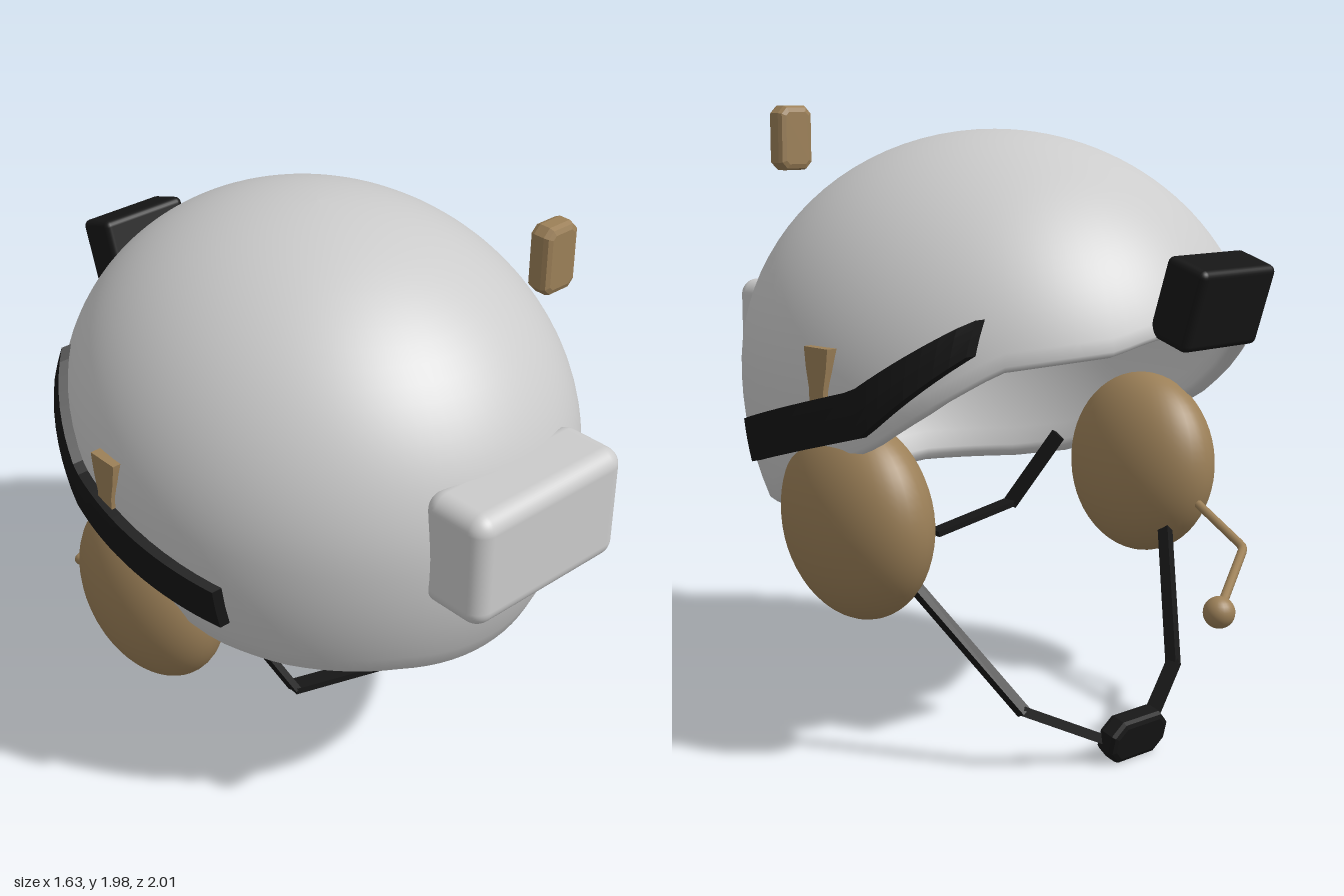
import * as THREE from 'three';
import { RoundedBoxGeometry } from 'three/addons/geometries/RoundedBoxGeometry.js';

const grey = new THREE.MeshStandardMaterial({ color: 0xcccccc });
const tan = new THREE.MeshStandardMaterial({ color: 0x9c8058 });
const black = new THREE.MeshStandardMaterial({ color: 0x161616 });
const V = (x, y, z) => new THREE.Vector3(x, y, z);

// Shell ellipsoid: half width, half length, centre height, upper and lower half height
const RX = 0.77, RZ = 0.88, CY = 1.15, UP = 0.76, DOWN = 0.95;
const shellX = (y, z) => {
  const v = (y - CY) / (y > CY ? UP : DOWN);
  return RX * Math.sqrt(Math.max(0, 1 - (z / RZ) ** 2 - v * v));
};

// Linear interpolation through [key, value] pairs with rising keys
function ramp(pairs, k) {
  for (let i = 1; i < pairs.length; i++) {
    const [a, va] = pairs[i - 1], [b, vb] = pairs[i];
    if (k <= b) return va + (vb - va) * Math.max(0, (k - a) / (b - a));
  }
  return pairs[pairs.length - 1][1];
}

function add(parent, name, geometry, material, x = 0, y = 0, z = 0) {
  const mesh = new THREE.Mesh(geometry, material);
  mesh.name = name;
  mesh.position.set(x, y, z);
  parent.add(mesh);
  return mesh;
}

// Hollow dome: outer skin, rolled rim, inner skin; the rim height follows the heading
function shellGeometry() {
  const edge = [[-1, 1.36], [-0.93, 1.31], [-0.7, 1.27], [-0.3, 1.03], [0.1, 0.87],
    [0.35, 0.77], [0.6, 0.735], [0.9, 0.72], [1, 0.69]];
  const N = 96, M = 28, pos = [], index = [];
  const rows = [];
  for (let j = 0; j <= M; j++) rows.push([j / M, 1]);
  rows.push([1.012, 0.985], [1.015, 0.96], [1.01, 0.935]);
  for (let j = M; j >= 0; j--) rows.push([j / M, 0.92]);
  for (const [t, s] of rows) {
    for (let i = 0; i < N; i++) {
      const phi = (i / N) * Math.PI * 2;
      const e = ramp(edge, Math.cos(phi)) - CY;
      const theta = Math.acos(e / (e > 0 ? UP : DOWN)) * t;
      const c = Math.cos(theta), r = Math.sin(theta) * s;
      pos.push(RX * Math.sin(phi) * r, CY + c * (c > 0 ? UP : DOWN) * s, RZ * Math.cos(phi) * r);
    }
  }
  for (let j = 0; j < rows.length - 1; j++) {
    for (let i = 0; i < N; i++) {
      const k = (i + 1) % N, a = j * N, b = a + N;
      index.push(a + i, b + i, b + k, a + i, b + k, a + k);
    }
  }
  const g = new THREE.BufferGeometry();
  g.setAttribute('position', new THREE.Float32BufferAttribute(pos, 3));
  g.setIndex(index);
  g.computeVertexNormals();
  return g;
}

// Side rail: a box wrapped onto the shell along a kinked band
function railGeometry(side) {
  const top = [[-0.54, 1.4], [-0.23, 1.185], [0.36, 1.025]];
  const low = [[-0.545, 1.3], [-0.25, 1.05], [0.36, 0.885]];
  const g = new THREE.BoxGeometry(1, 1, 1, 1, 4, 24).toNonIndexed();
  const p = g.attributes.position;
  for (let i = 0; i < p.count; i++) {
    const z = -0.545 + 0.905 * (p.getZ(i) + 0.5);
    const y = THREE.MathUtils.lerp(ramp(low, z), ramp(top, z), p.getY(i) + 0.5);
    const out = p.getX(i) * side > 0 ? 0.035 : -0.02;
    p.setXYZ(i, side * (shellX(y, z) + out), y, z);
  }
  g.computeVertexNormals();
  return g;
}

// Block with cut corners and bevelled faces
function chamferBlock(w, h, d, cut, bevel) {
  const x = w / 2 - bevel, y = h / 2 - bevel;
  const s = new THREE.Shape([[x - cut, -y], [x, cut - y], [x, y - cut], [x - cut, y],
    [cut - x, y], [-x, y - cut], [-x, cut - y], [cut - x, -y]].map(q => new THREE.Vector2(...q)));
  return new THREE.ExtrudeGeometry(s, {
    depth: d - 2 * bevel, bevelSize: bevel, bevelThickness: bevel, bevelSegments: 2,
  }).center();
}

// Flat webbing through a list of points
function strap(parent, name, points, width, thick) {
  const group = new THREE.Group();
  group.name = name;
  for (let i = 1; i < points.length; i++) {
    const a = points[i - 1], b = points[i];
    const m = add(group, name + 'Section', new THREE.BoxGeometry(thick, width, a.distanceTo(b) + 0.012), black);
    m.position.copy(a).lerp(b, 0.5);
    m.up.set(0, 0, 1);
    m.lookAt(b);
  }
  parent.add(group);
}

export function createModel() {
  const model = new THREE.Group();
  model.name = 'helmet';
  add(model, 'shell', shellGeometry(), grey);

  // Mounts at the front and back
  add(model, 'frontMount', new RoundedBoxGeometry(0.6, 0.37, 0.24, 5, 0.055), grey, 0, 1.2, 0.88);
  const pack = add(model, 'rearPack', new RoundedBoxGeometry(0.32, 0.245, 0.15, 3, 0.022), black, 0, 1.44, -0.905);
  pack.rotation.x = -0.31;

  // Small block floating above the front
  add(model, 'floatingBlock', chamferBlock(0.13, 0.21, 0.076, 0.012, 0.02), tan, 0.3, 1.875, 0.665);

  for (const side of [1, -1]) {
    const label = side > 0 ? 'left' : 'right';
    add(model, label + 'Rail', railGeometry(side), black);

    // Ear cup and the tapered arm that carries it
    const cup = add(model, label + 'EarCup', new THREE.SphereGeometry(1, 40, 28), tan, side * 0.633, 0.765, -0.07);
    cup.scale.set(0.18, 0.31, 0.292);
    cup.rotation.z = side * -0.06;
    const arm = new THREE.BoxGeometry(0.06, 0.25, 0.11, 1, 4, 1);
    const p = arm.attributes.position;
    for (let i = 0; i < p.count; i++) {
      p.setZ(i, p.getZ(i) * (p.getY(i) > 0.1 ? 1 : p.getY(i) > 0.05 ? 0.85 : 0.6));
    }
    arm.computeVertexNormals();
    add(model, label + 'CupArm', arm, tan, side * 0.752, 1.17, -0.075);

    // Webbing
    strap(model, label + 'FrontStrap',
      [V(side * 0.58, 0.81, 0.29), V(side * 0.47, 0.565, 0.415), V(side * 0.14, 0.5, 0.45)], 0.055, 0.02);
    strap(model, label + 'ChinStrap',
      [V(side * 0.63, 0.7, -0.17), V(side * 0.34, 0.195, -0.485), V(side * 0.07, 0.06, -0.605)], 0.04, 0.03);
  }

  // Chin pad
  const pad = add(model, 'chinPad', chamferBlock(0.24, 0.14, 0.075, 0.03, 0.018), black, 0, 0.077, -0.62);
  pad.rotation.x = -0.25;

  // Microphone boom
  const boom = new THREE.CurvePath();
  const pts = [V(-0.64, 0.7, -0.24), V(-0.57, 0.56, -0.58), V(-0.21, 0.455, -0.78)];
  boom.add(new THREE.LineCurve3(pts[0], pts[1].clone().lerp(pts[0], 0.06)));
  boom.add(new THREE.QuadraticBezierCurve3(pts[1].clone().lerp(pts[0], 0.06), pts[1], pts[1].clone().lerp(pts[2], 0.06)));
  boom.add(new THREE.LineCurve3(pts[1].clone().lerp(pts[2], 0.06), pts[2]));
  add(model, 'micBoom', new THREE.TubeGeometry(boom, 48, 0.015, 10), tan);
  add(model, 'microphone', new THREE.SphereGeometry(0.05, 24, 16), tan, -0.21, 0.455, -0.78);

  return model;
}
